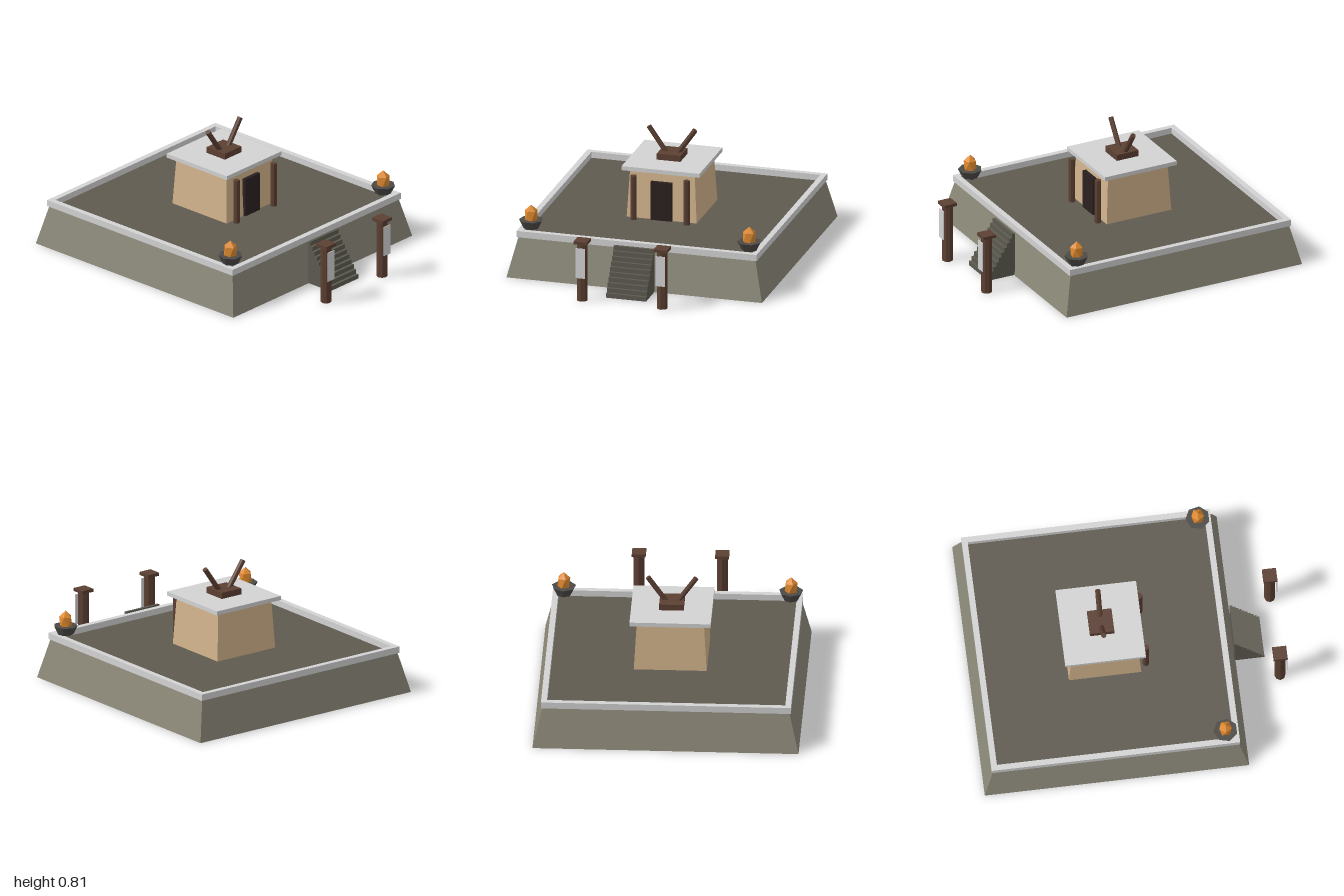
import * as THREE from 'three';

const mat = (name, color) => {
  const m = new THREE.MeshStandardMaterial({ color, flatShading: true });
  m.name = name;
  return m;
};

export function createModel() {
  const stone = mat('stone', 0x8b8878);
  const paving = mat('paving', 0x5f5a50);
  const paleTrim = mat('paleTrim', 0xd3d3d3);
  const plaster = mat('plaster', 0xd2b48c);
  const wood = mat('wood', 0x5c4033);
  const doorDark = mat('doorDark', 0x2b2020);
  const stepStone = mat('stepStone', 0x5c5a50);
  const bowlIron = mat('bowlIron', 0x4c4a46);
  const flame = mat('flame', 0xe08a30);

  const root = new THREE.Group();
  root.name = 'shrine';
  const CZ = -0.157; // centre of the platform and hut
  const FLOOR = 0.26;

  const add = (name, geo, material, x, y, z, parent = root) => {
    const m = new THREE.Mesh(geo, material);
    m.name = name;
    m.position.set(x, y, z);
    parent.add(m);
    return m;
  };
  const box = (name, material, w, h, d, x, y, z, parent) =>
    add(name, new THREE.BoxGeometry(w, h, d), material, x, y, z, parent);
  // square frustum from half widths
  const frustum = (top, bottom, h) =>
    new THREE.CylinderGeometry(top * Math.SQRT2, bottom * Math.SQRT2, h, 4).rotateY(Math.PI / 4);

  // sloped platform with paved top
  add('platform', frustum(0.782, 0.843, FLOOR), [stone, paving, stone], 0, FLOOR / 2, CZ);

  // parapet: square ring around the platform
  const square = (Shape, r) => new Shape([[-r, -r], [r, -r], [r, r], [-r, r]].map(p => new THREE.Vector2(...p)));
  const ring = square(THREE.Shape, 0.792);
  ring.holes.push(square(THREE.Path, 0.755));
  const ringGeo = new THREE.ExtrudeGeometry(ring, { depth: 0.042, bevelEnabled: false }).rotateX(-Math.PI / 2);
  add('parapet', ringGeo, paleTrim, 0, 0.258, CZ);

  // hut
  const hut = new THREE.Group();
  hut.name = 'hut';
  root.add(hut);
  add('hutWalls', frustum(0.213, 0.231, 0.32), plaster, 0, 0.42, CZ, hut);
  box('hutRoof', paleTrim, 0.514, 0.027, 0.514, 0, 0.592, CZ, hut);
  box('hutDoor', doorDark, 0.14, 0.255, 0.025, 0, 0.3875, 0.076, hut);
  box('roofBlock', wood, 0.156, 0.04, 0.156, 0, 0.626, CZ, hut);

  // staircase as one stepped profile
  const N = 10, rise = 0.029, run = 0.019;
  const profile = new THREE.Shape();
  profile.moveTo(-0.87, 0);
  for (let i = 0; i < N; i++) {
    profile.lineTo(-0.87 + i * run, (i + 1) * rise);
    profile.lineTo(-0.87 + (i + 1) * run, (i + 1) * rise);
  }
  profile.lineTo(-0.68, 0);
  const stairGeo = new THREE.ExtrudeGeometry(profile, { depth: 0.264, bevelEnabled: false }).rotateY(Math.PI / 2);
  add('staircase', stairGeo, stepStone, -0.132, 0, 0);

  // crystal flame: icosahedron standing on a corner
  const flameGeo = new THREE.IcosahedronGeometry(1, 0)
    .rotateZ(Math.atan(2 / (1 + Math.sqrt(5)))).scale(0.046, 0.069, 0.046);

  for (const s of [-1, 1]) {
    const side = s > 0 ? 'left' : 'right';

    // slanted roof beam and door post
    const beam = add(side + 'RoofBeam', new THREE.CylinderGeometry(0.017, 0.017, 0.205, 8), wood, s * 0.094, 0.715, CZ, hut);
    beam.rotation.z = -s * 0.61;
    add(side + 'DoorPost', new THREE.CylinderGeometry(0.021, 0.021, 0.295, 8), wood, s * 0.175, 0.4075, 0.109, hut);

    // gate post with cap and banner
    const gate = new THREE.Group();
    gate.name = side + 'GatePost';
    gate.position.set(s * 0.264, 0, 0.953);
    root.add(gate);
    add('post', new THREE.CylinderGeometry(0.035, 0.035, 0.386, 8), wood, 0, 0.193, 0, gate);
    box('postCap', wood, 0.088, 0.02, 0.09, 0, 0.395, 0, gate);
    box('banner', paleTrim, 0.062, 0.2, 0.005, 0, 0.26, 0.0435, gate);

    // fire bowl on the parapet corner
    const brazier = new THREE.Group();
    brazier.name = side + 'Brazier';
    brazier.position.set(s * 0.72, 0, 0.55);
    root.add(brazier);
    add('bowl', new THREE.CylinderGeometry(0.078, 0.05, 0.056, 7).rotateY(Math.PI), bowlIron, 0, 0.328, 0, brazier);
    add('flame', flameGeo, flame, 0, 0.385, 0, brazier);
  }
  return root;
}
